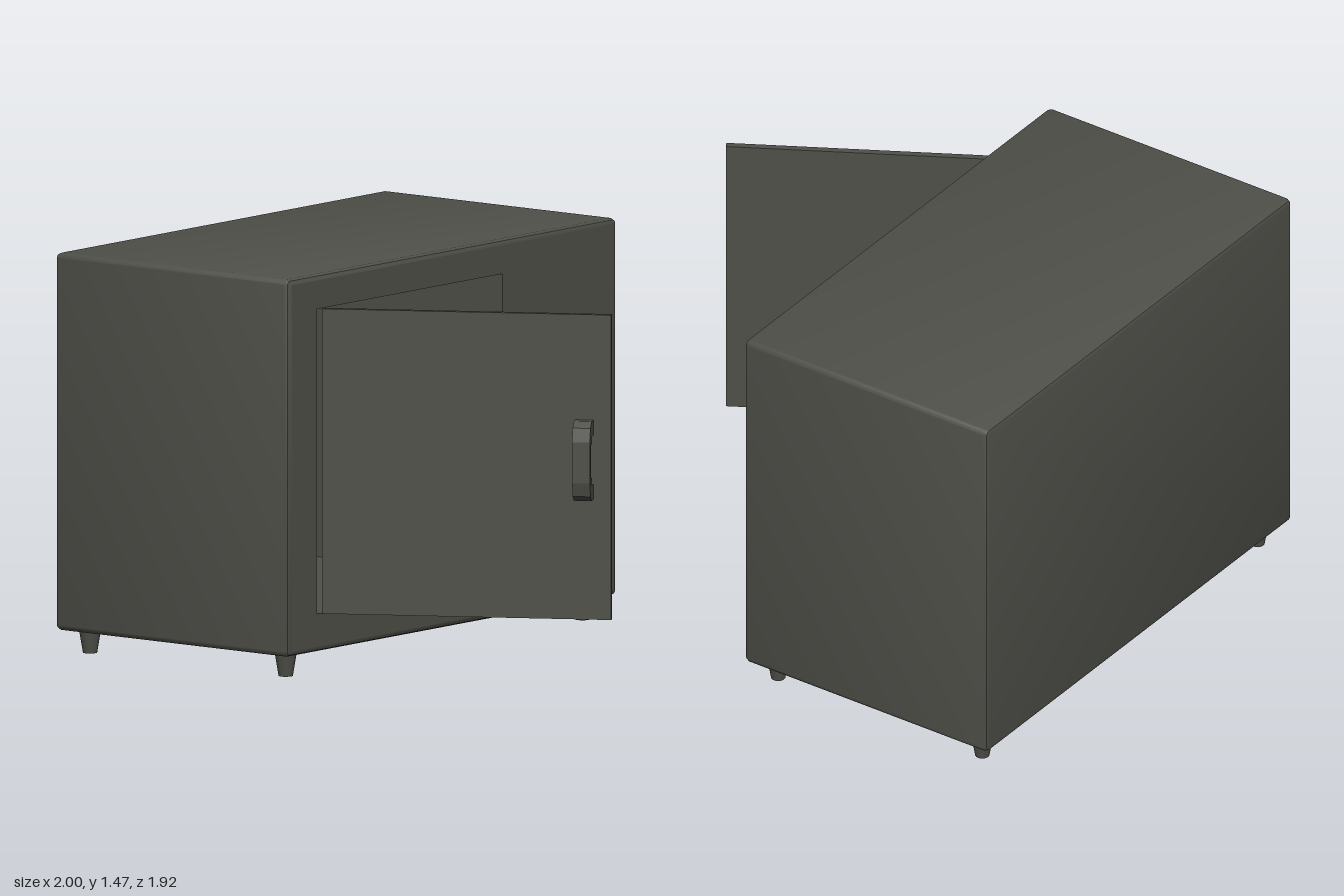
import * as THREE from 'three';
import { toCreasedNormals } from 'three/addons/utils/BufferGeometryUtils.js';

const metal = new THREE.MeshStandardMaterial({ color: 0x50504a });
metal.name = 'dark grey metal';
const mint = new THREE.MeshStandardMaterial({ color: 0xa3d0c9 });
mint.name = 'pale mint button';

// Rounded rectangle in the z-y plane at one x, counter-clockwise seen from +x
function ring({ x, z0, z1, y0, y1, r = 0 }) {
  const cz = (z0 + z1) / 2, cy = (y0 + y1) / 2;
  const hz = (z1 - z0) / 2 - r, hy = (y1 - y0) / 2 - r;
  const steps = r > 0 ? 5 : 0, pts = [];
  [[1, 1], [-1, 1], [-1, -1], [1, -1]].forEach(([sz, sy], q) => {
    for (let i = 0; i <= steps; i++) {
      const a = (q + (steps ? i / steps : 0)) * Math.PI / 2;
      pts.push([x, cy + sy * hy + r * Math.sin(a), cz - sz * hz - r * Math.cos(a)]);
    }
  });
  return pts;
}

// Skin a list of rings; decreasing x turns the faces inward
function loft(sections, { start = false, end = false }) {
  const rings = sections.map(ring), n = rings[0].length, pos = [];
  const tri = (...p) => p.forEach((v) => pos.push(...v));
  for (let k = 0; k < rings.length - 1; k++) {
    for (let j = 0; j < n; j++) {
      const a = rings[k][j], b = rings[k][(j + 1) % n];
      const c = rings[k + 1][(j + 1) % n], d = rings[k + 1][j];
      tri(a, b, c);
      tri(a, c, d);
    }
  }
  const first = rings[0], last = rings[rings.length - 1];
  for (let j = 1; j < n - 1; j++) {
    if (start) tri(first[0], first[j + 1], first[j]);
    if (end) tri(last[0], last[j], last[j + 1]);
  }
  const g = new THREE.BufferGeometry();
  g.setAttribute('position', new THREE.Float32BufferAttribute(pos, 3));
  g.computeVertexNormals();
  return toCreasedNormals(g, 0.6);
}

function add(parent, name, geometry, material = metal) {
  const mesh = new THREE.Mesh(geometry, material);
  mesh.name = name;
  parent.add(mesh);
  return mesh;
}

function rectPath(path, u0, u1, v0, v1) {
  path.moveTo(u0, v0).lineTo(u1, v0).lineTo(u1, v1).lineTo(u0, v1).closePath();
  return path;
}

export function createModel() {
  const model = new THREE.Group();
  model.name = 'safe';

  // Cabinet shell with softly rounded edges
  const front = 0.075, bevel = 0.02;
  const Y0 = 0.085, Y1 = 1.465, Z = 0.96;
  const shell = [[-1, bevel], [-0.994, 0.006], [-0.98, 0], [front - 0.02, 0], [front - 0.006, 0.006], [front, bevel]]
    .map(([x, i]) => ({ x, z0: -Z + i, z1: Z - i, y0: Y0 + i, y1: Y1 - i, r: Math.max(bevel - i, 0.002) }));
  add(model, 'cabinetShell', loft(shell, { start: true }));

  // Front panel with the door opening, and the compartment behind it
  const opening = { z0: -0.29, z1: 0.79, y0: 0.225, y1: 1.34 };
  const panel = rectPath(new THREE.Shape(), -Z + bevel, Z - bevel, Y0 + bevel, Y1 - bevel);
  panel.holes.push(rectPath(new THREE.Path(), -opening.z1, -opening.z0, opening.y0, opening.y1));
  add(model, 'frontPanel', new THREE.ShapeGeometry(panel).rotateY(Math.PI / 2).translate(front, 0, 0));
  add(model, 'compartment', loft([{ x: front, ...opening }, { x: -0.95, ...opening }], { end: true }));

  // Door swung open on its hinge edge
  const door = new THREE.Group();
  door.name = 'door';
  door.position.set(0.078, 0, 0.763);
  door.rotation.y = Math.PI / 6;
  model.add(door);
  const length = 1.057, thick = 0.025, height = opening.y1 - opening.y0;
  add(door, 'doorPanel', new THREE.BoxGeometry(length, height, thick)
    .translate(length / 2, opening.y0 + height / 2, 0));

  // Bracket handle: mirrored half profile, extruded across the door
  const half = [[0.012, 0.145], [0.055, 0.145], [0.085, 0.125], [0.098, 0.075]];
  const inner = [[0.066, 0.062], [0.045, 0.062], [0.045, 0.09], [0.012, 0.09]];
  const flip = (list) => list.map(([u, v]) => [u, -v]).reverse();
  const outline = [...half, ...flip(half), ...flip(inner), ...inner];
  const profile = new THREE.Shape(outline.map(([u, v]) => new THREE.Vector2(u, v)));
  add(door, 'handle', new THREE.ExtrudeGeometry(profile, { depth: 0.065, bevelEnabled: false })
    .rotateY(-Math.PI / 2).translate(0.992, 0.81, 0));

  // Keypad housing, flaring out towards the rear
  add(model, 'keypadHousing', loft([
    { x: 0.07, z0: -0.935, z1: -0.4, y0: 0.612, y1: 1.008, r: 0.06 },
    { x: 0.085, z0: -0.905, z1: -0.403, y0: 0.62, y1: 1.0, r: 0.06 },
    { x: 0.098, z0: -0.885, z1: -0.408, y0: 0.628, y1: 0.992, r: 0.055 },
    { x: 0.115, z0: -0.87, z1: -0.423, y0: 0.64, y1: 0.98, r: 0.05 },
    { x: 0.123, z0: -0.85, z1: -0.44, y0: 0.655, y1: 0.965, r: 0.045 },
    { x: 0.126, z0: -0.825, z1: -0.465, y0: 0.68, y1: 0.94, r: 0.035 },
  ], { end: true }));

  // Three by three buttons
  for (let row = -1; row <= 1; row++) {
    for (let col = -1; col <= 1; col++) {
      add(model, 'button', new THREE.BoxGeometry(0.02, 0.04, 0.04), mint)
        .position.set(0.13, 0.81 + row * 0.081, -0.648 + col * 0.12);
    }
  }

  // Tapered feet
  for (const x of [-0.912, -0.01]) {
    for (const z of [-0.865, 0.865]) {
      add(model, 'foot', new THREE.CylinderGeometry(0.041, 0.026, 0.09, 16)).position.set(x, 0.045, z);
    }
  }
  return model;
}
